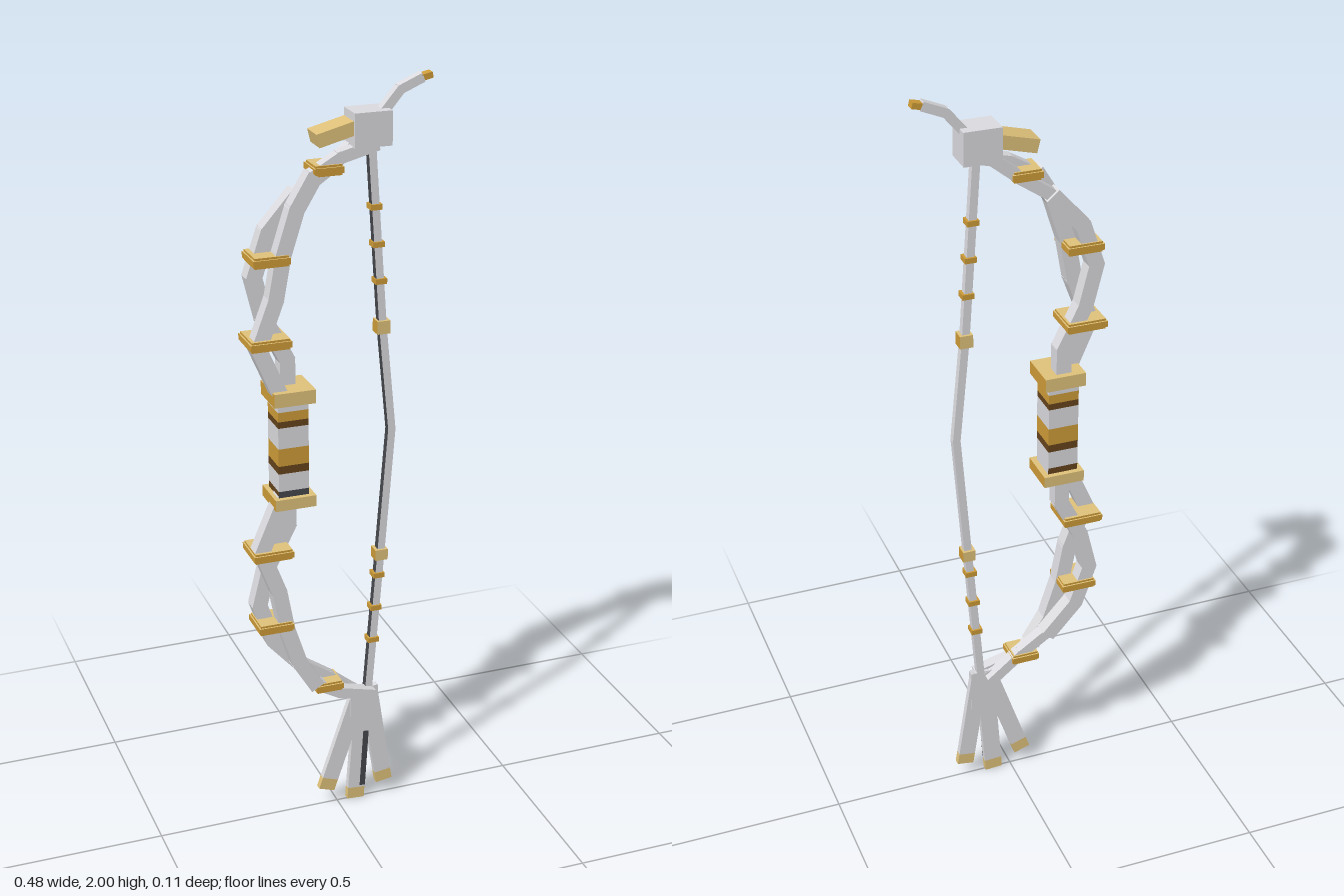
import * as THREE from 'three';

const mat = (name, color) => {
  const m = new THREE.MeshStandardMaterial({ color });
  m.name = name;
  return m;
};

export function createModel() {
  const silver = mat('silver', 0xdcdce0);
  const gold = mat('gold', 0xcf9c38);
  const paleGold = mat('pale gold', 0xe0c27a);
  const brown = mat('dark brown', 0x65431c);
  const charcoal = mat('charcoal', 0x46474c);

  // Face materials in the order +x, -x, +y, -y, +z, -z
  const collarFaces = [gold, gold, paleGold, paleGold, paleGold, paleGold];
  const ringFaces = [gold, gold, paleGold, gold, gold, gold];
  const stringFaces = [silver, charcoal, silver, silver, silver, silver];
  const lowestBandFaces = [silver, brown, silver, silver, charcoal, brown];

  const bow = new THREE.Group();
  bow.name = 'bow';

  const box = (name, m, w, h, d, x, y, z = 0, tilt = 0, parent = bow) => {
    const mesh = new THREE.Mesh(new THREE.BoxGeometry(w, h, d), m);
    mesh.name = name;
    mesh.position.set(x, y, z);
    mesh.rotation.z = tilt;
    parent.add(mesh);
    return mesh;
  };

  // Square bar between two points [x, y, z], lower point first
  const up = new THREE.Vector3(0, 1, 0);
  const beam = (name, m, a, b, w, d, extra = 0, parent = bow) => {
    const p = new THREE.Vector3(...a), q = new THREE.Vector3(...b);
    const dir = q.clone().sub(p);
    const mid = p.add(q).multiplyScalar(0.5);
    const mesh = box(name, m, w, dir.length() + extra, d, mid.x, mid.y, mid.z, 0, parent);
    mesh.quaternion.setFromUnitVectors(up, dir.normalize());
  };

  // Grip: stacked bands between two collars
  const bands = [
    [1.21, 1.19, silver], [1.19, 1.165, gold], [1.165, 1.148, brown],
    [1.148, 1.092, silver], [1.092, 1.045, gold], [1.045, 1.024, brown],
    [1.024, 0.976, silver], [0.976, 0.955, lowestBandFaces],
  ];
  for (const [top, bottom, m] of bands) {
    box('gripBand', m, 0.08, top - bottom, 0.08, -0.13, (top + bottom) / 2);
  }
  box('upperCollar', collarFaces, 0.108, 0.036, 0.108, -0.129, 1.227);
  box('lowerCollar', collarFaces, 0.108, 0.03, 0.108, -0.129, 0.944);

  // Limbs: two crossing strands, mirrored about the grip centre
  const strands = [
    { side: -1, pts: [[-0.13, 1.22], [-0.13, 1.31], [-0.185, 1.42], [-0.212, 1.53], [-0.175, 1.64], [-0.1, 1.725], [-0.02, 1.78], [0.06, 1.845]] },
    { side: 1, pts: [[-0.155, 1.22], [-0.215, 1.36], [-0.17, 1.48], [-0.15, 1.59], [-0.115, 1.7], [-0.07, 1.775], [0, 1.815], [0.09, 1.838]] },
  ];
  const rings = [[-0.187, 1.37, 0.106, 0.1], [-0.181, 1.58, 0.094, 0.092], [-0.033, 1.788, 0.076, 0.076]];
  for (const upper of [true, false]) {
    const limb = new THREE.Group();
    limb.name = upper ? 'upperLimb' : 'lowerLimb';
    bow.add(limb);
    const my = (y) => (upper ? y : 2.17 - y);
    for (const { side, pts } of strands) {
      for (let i = 0; i < pts.length - 1; i++) {
        const [a, b] = [pts[i], pts[i + 1]];
        // the strands grow thinner towards the limb's end
        const [w, d] = i > 4 ? [0.03, 0.03] : [0.04, 0.038];
        const z = side * d / 2;
        beam('strandSegment', silver, [a[0], my(a[1]), z], [b[0], my(b[1]), z], w, d, 0.012, limb);
      }
    }
    for (const [x, y, w, d] of rings) {
      box('ringBand', ringFaces, w - 0.008, 0.027, d - 0.008, x, my(y), 0, 0, limb);
      box('ringRim', ringFaces, w, 0.016, d, x, my(y), 0, 0, limb);
    }
  }

  // Head block with beak and curled crest
  box('head', silver, 0.096, 0.085, 0.076, 0.079, 1.878);
  box('beak', paleGold, 0.1, 0.034, 0.066, -0.01, 1.872, -0.003, 0.25);
  const crest = [[0.11, 1.905], [0.158, 1.962], [0.212, 1.985], [0.239, 1.991]];
  for (let i = 0; i < 3; i++) {
    beam('crest', i === 2 ? gold : silver, [...crest[i], 0], [...crest[i + 1], 0], i === 2 ? 0.015 : 0.023, 0.024, i === 2 ? 0 : 0.008);
  }

  // Bowstring with beads
  const string = [[0.085, 0.32], [0.118, 0.74], [0.145, 1.09], [0.118, 1.37], [0.085, 1.85]];
  for (let i = 0; i < 4; i++) {
    beam('stringSegment', stringFaces, [...string[i], 0], [...string[i + 1], 0], 0.02, 0.02, 0.004);
  }
  for (const [x, y] of [[0.097, 1.68], [0.104, 1.585], [0.111, 1.49], [0.112, 0.68], [0.105, 0.585], [0.098, 0.49]]) {
    box('smallBead', gold, 0.03, 0.014, 0.03, x, y);
  }
  box('upperBead', collarFaces, 0.034, 0.034, 0.034, 0.118, 1.37);
  box('lowerBead', collarFaces, 0.034, 0.03, 0.034, 0.118, 0.74);

  // Tail feathers with gold tips
  const feathers = [
    [[0.068, 0.345], [-0.022, 0.078], [-0.033, 0.046], 0.046],
    [[0.075, 0.345], [0.053, 0.035], [0.051, 0.002], 0.048],
    [[0.088, 0.345], [0.129, 0.074], [0.134, 0.042], 0.046],
  ];
  feathers.forEach(([root, neck, tip, w], i) => {
    const z = (i - 1) * 0.001;
    beam('tailFeather', silver, [...neck, z], [...root, z], w, 0.018);
    beam('featherTip', paleGold, [...tip, z], [...neck, z], w, 0.018);
  });
  box('tailRoot', silver, 0.078, 0.15, 0.018, 0.075, 0.272);
  beam('tailSlit', charcoal, [0.07, 0.04, 0.008], [0.08, 0.21, 0.008], 0.015, 0.006);

  return bow;
}
